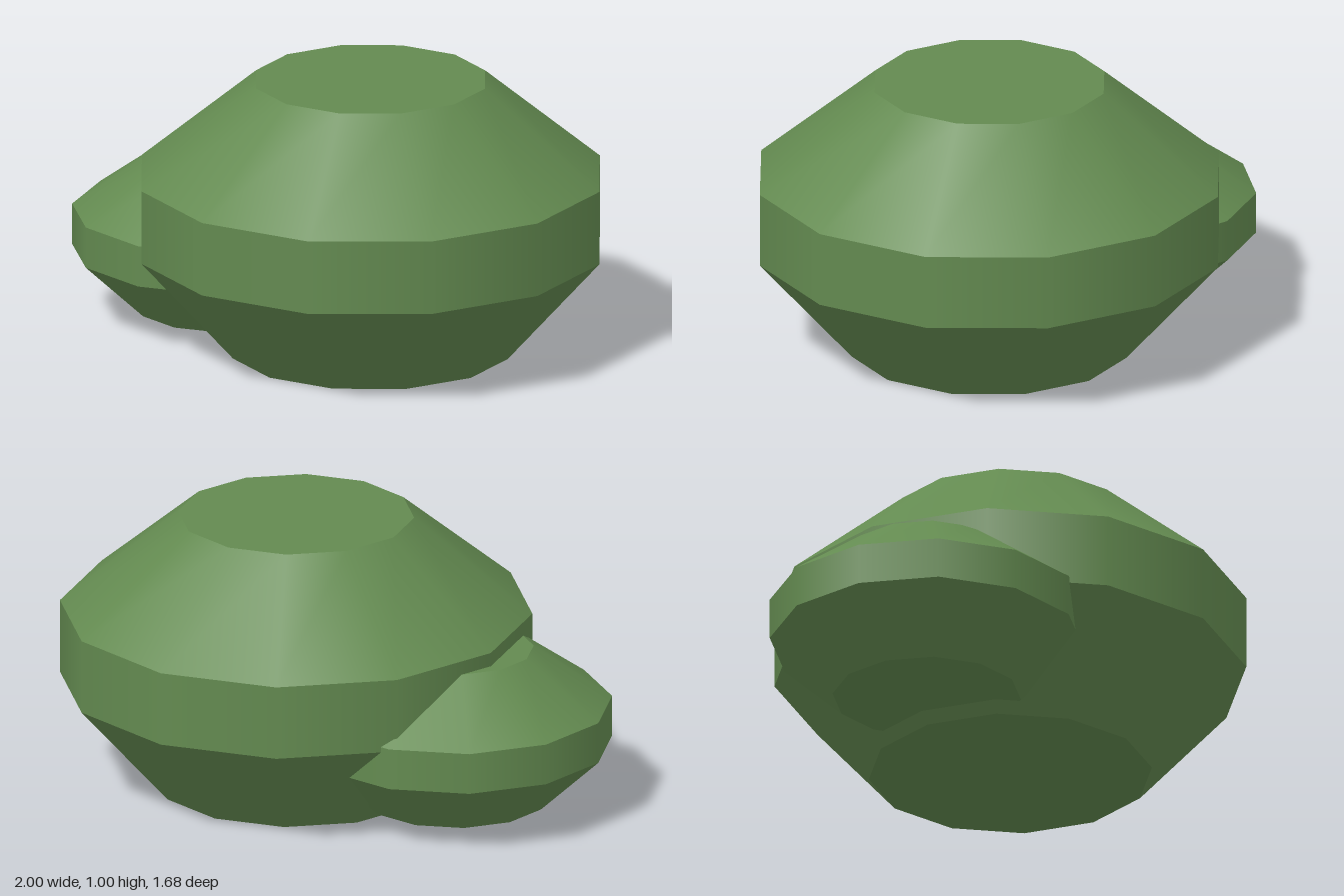
import * as THREE from 'three';
import { mergeGeometries } from 'three/addons/utils/BufferGeometryUtils.js';

const SIDES = 12;

// Stack of frustums: smooth around, sharp between the bands, closed at both ends.
function clumpGeometry(rings, turn) {
  const parts = [];
  for (let i = 0; i < rings.length - 1; i++) {
    const [r0, y0] = rings[i];
    const [r1, y1] = rings[i + 1];
    const band = new THREE.CylinderGeometry(r1, r0, y1 - y0, SIDES, 1, true, turn);
    parts.push(band.translate(0, (y0 + y1) / 2, 0));
  }
  const [rBottom, yBottom] = rings[0];
  const [rTop, yTop] = rings[rings.length - 1];
  const start = turn - Math.PI / 2;
  parts.push(new THREE.CircleGeometry(rTop, SIDES, start).rotateX(-Math.PI / 2).translate(0, yTop, 0));
  parts.push(new THREE.CircleGeometry(rBottom, SIDES, -start).rotateX(Math.PI / 2).translate(0, yBottom, 0));
  return mergeGeometries(parts);
}

export function createModel() {
  const group = new THREE.Group();
  group.name = 'bush';
  const leafGreen = new THREE.MeshStandardMaterial({ color: 0x638a50 });
  leafGreen.name = 'leafGreen';

  const addClump = (name, x, z, radius, heights, degrees) => {
    const [y0, y1, y2, y3] = heights;
    const rings = [[radius * 0.6, y0], [radius, y1], [radius, y2], [radius * 0.5, y3]];
    const mesh = new THREE.Mesh(clumpGeometry(rings, THREE.MathUtils.degToRad(degrees)), leafGreen);
    mesh.name = name;
    mesh.position.set(x, 0, z);
    group.add(mesh);
  };

  // Main clump and the smaller one growing out of its right side
  addClump('largeClump', 0.16, 0, 0.843, [0, 0.38, 0.65, 1], 5);
  addClump('smallClump', -0.46, 0.14, 0.56, [0.04, 0.25, 0.4, 0.6], 15);

  return group;
}
